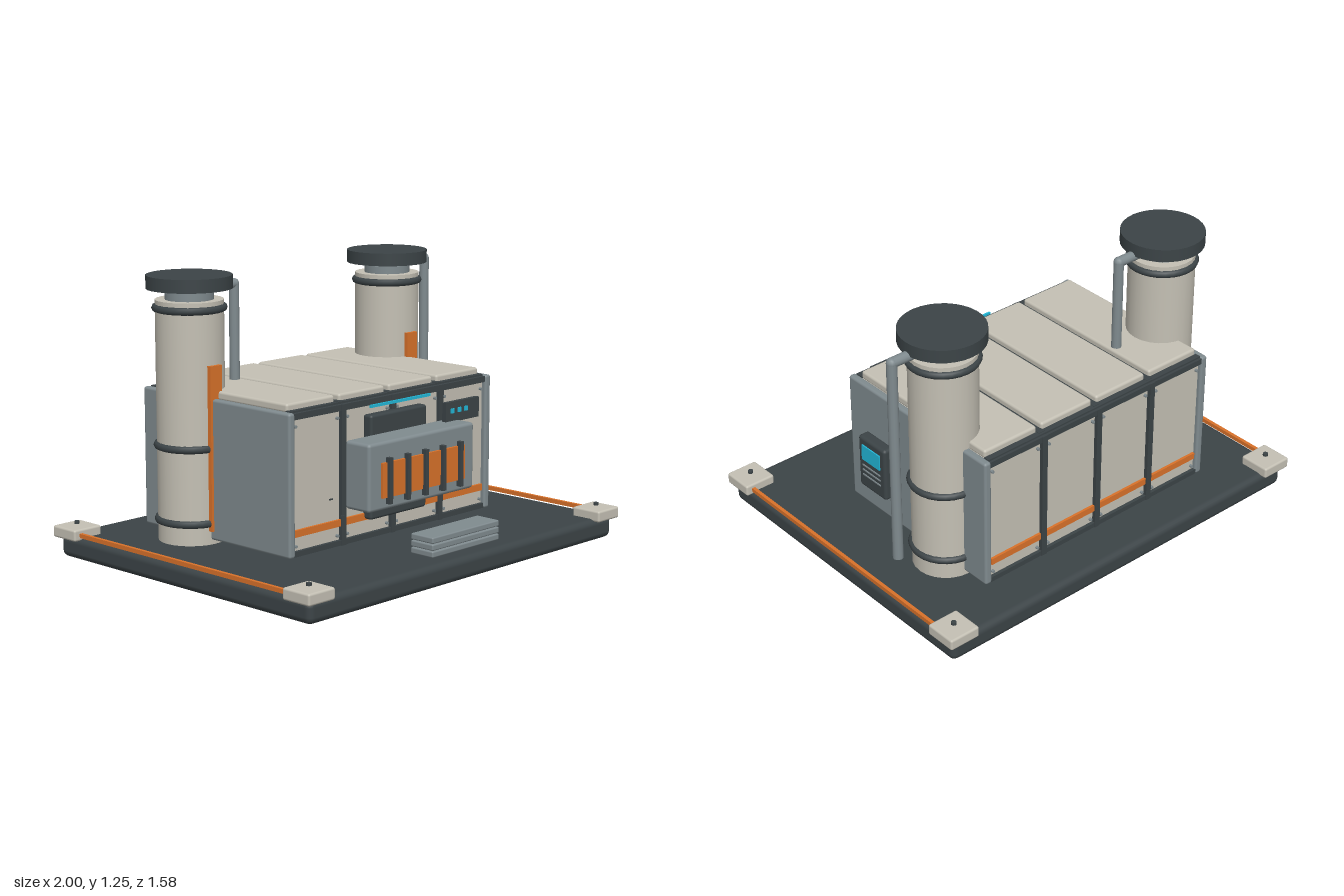
import * as THREE from 'three';
import { RoundedBoxGeometry } from 'three/addons/geometries/RoundedBoxGeometry.js';

const mat = (color) => new THREE.MeshStandardMaterial({ color });

export function createModel() {
  const root = new THREE.Group();
  const beige = mat(0xc4c0b4), grey = mat(0x808b8f), dark = mat(0x3c4447);
  const orange = mat(0xd9722a), cyan = mat(0x22b8d8);

  const add = (name, geo, m, parent = root) => {
    const mesh = new THREE.Mesh(geo, m);
    mesh.name = name;
    parent.add(mesh);
    return mesh;
  };
  // Boxes are given by their extents; r rounds the edges
  const box = (name, m, [x0, x1], [y0, y1], [z0, z1], r = 0, parent = root) => {
    const s = [x1 - x0, y1 - y0, z1 - z0];
    const geo = r ? new RoundedBoxGeometry(...s, 2, r) : new THREE.BoxGeometry(...s);
    const mesh = add(name, geo, m, parent);
    mesh.position.set((x0 + x1) / 2, (y0 + y1) / 2, (z0 + z1) / 2);
    return mesh;
  };
  const cyl = (name, m, r, h, x, y, z, seg = 24, parent = root) => {
    const mesh = add(name, new THREE.CylinderGeometry(r, r, h, seg), m, parent);
    mesh.position.set(x, y, z);
    return mesh;
  };

  // Base slab with side trim and corner pads
  box('baseSlab', dark, [-0.975, 0.975], [0, 0.1], [-0.77, 0.77], 0.03);
  for (const sx of [-1, 1]) {
    box('baseTrim', orange, [sx * 0.964 - 0.008, sx * 0.964 + 0.008], [0.103, 0.122], [-0.7, 0.7]);
    for (const sz of [-1, 1]) {
      const x = sx * 0.925, z = sz * 0.715;
      box('cornerPad', beige, [x - 0.075, x + 0.075], [0.088, 0.14], [z - 0.075, z + 0.075], 0.01);
      cyl('padBolt', dark, 0.012, 0.012, x, 0.153, z, 10);
    }
  }

  // Housing with end plates
  box('housing', beige, [-0.61, 0.61], [0.12, 0.73], [-0.565, 0.3]);
  for (const s of [-1, 1])
    box('endPlate', grey, [s * 0.623 - 0.018, s * 0.623 + 0.018], [0.12, 0.737], [-0.585, 0.323], 0.012);

  // Front and back faces: frame, stripe and panel bolts
  for (const [zf, s] of [[0.3, 1], [-0.565, -1]]) {
    const slab = (d) => (s > 0 ? [zf - 0.005, zf + d] : [zf - d, zf + 0.005]);
    box('topRail', dark, [-0.61, 0.61], [0.705, 0.732], slab(0.016));
    box('bottomRail', dark, [-0.61, 0.61], [0.122, 0.145], slab(0.016));
    box('stripe', orange, [-0.6, 0.6], [0.205, 0.235], slab(0.012));
    for (const x of [-0.31, 0, 0.31])
      box('seam', dark, [x - 0.014, x + 0.014], [0.12, 0.732], slab(0.018));
    for (let i = 0; i < 4; i++)
      for (const dx of [-0.125, 0.125])
        for (const y of [0.165, 0.675])
          cyl('panelBolt', grey, 0.007, 0.012, -0.465 + i * 0.31 + dx, y, zf + s * 0.006, 8).rotation.x = Math.PI / 2;
  }

  // Roof panels above dark seams and cross rails
  for (let i = 0; i < 4; i++) {
    const x = -0.465 + i * 0.31;
    box('roofPanel', beige, [x - 0.142, x + 0.142], [0.728, 0.768], [-0.543, 0.275], 0.012);
  }
  for (const x of [-0.31, 0, 0.31])
    box('roofSeam', dark, [x - 0.016, x + 0.016], [0.72, 0.742], [-0.56, 0.3]);
  for (const z of [-0.556, 0.285])
    box('roofRail', dark, [-0.61, 0.61], [0.72, 0.74], [z - 0.014, z + 0.014]);

  // Twin exhaust stacks with bands, cap and drain pipe
  for (const sx of [-1, 1]) {
    const stack = new THREE.Group();
    stack.name = 'exhaustStack';
    stack.position.set(sx * 0.62, 0, -0.3);
    root.add(stack);
    cyl('stackBody', beige, 0.148, 1.05, 0, 0.625, 0, 24, stack);
    cyl('stackNeck', grey, 0.105, 0.05, 0, 1.16, 0, 24, stack);
    cyl('stackCore', dark, 0.08, 0.04, 0, 1.19, 0, 24, stack);
    cyl('stackCap', dark, 0.186, 0.058, 0, 1.226, 0, 32, stack);
    for (const y of [0.193, 0.52, 1.115]) {
      const band = add('stackBand', new THREE.TorusGeometry(0.146, 0.017, 8, 28), dark, stack);
      band.rotation.x = Math.PI / 2;
      band.position.y = y;
    }
    box('stackFin', orange, [-0.033, 0.033], [0.16, 0.88], [0.14, 0.163], 0, stack);
    cyl('pipeArm', grey, 0.023, 0.2, 0.16, 1.19, 0, 12, stack).rotation.z = Math.PI / 2;
    cyl('drainPipe', grey, 0.023, 0.96, 0.261, 0.71, 0, 12, stack);
    add('pipeElbow', new THREE.SphereGeometry(0.0235, 12, 8), grey, stack).position.set(0.261, 1.19, 0);
  }

  // Front intake: backing plate, casing and barred grille
  box('intakeBacking', dark, [-0.178, 0.178], [0.21, 0.668], [0.3, 0.35], 0.012);
  box('intakeCasing', grey, [-0.336, 0.336], [0.29, 0.585], [0.345, 0.486], 0.015);
  box('intakeGrille', orange, [-0.263, 0.263], [0.345, 0.497], [0.48, 0.498]);
  for (let i = -2; i <= 2; i++)
    box('grilleBar', dark, [i * 0.113 - 0.01, i * 0.113 + 0.01], [0.318, 0.518], [0.49, 0.513]);
  box('lightStrip', cyan, [-0.19, 0.19], [0.704, 0.716], [0.349, 0.359]);

  // Indicator box with three lamps
  box('indicatorBox', dark, [0.243, 0.465], [0.58, 0.67], [0.381, 0.402]);
  for (const x of [0.285, 0.33, 0.375])
    box('indicatorLamp', cyan, [x - 0.011, x + 0.011], [0.62, 0.641], [0.4, 0.407]);

  // Thin surface marks standing off the front
  for (const [x, y, w] of [[-0.45, 0.355, 0.02], [-0.38, 0.27, 0.03], [0.4, 0.385, 0.05], [0.35, 0.305, 0.03], [0.16, 0.265, 0.03]])
    box('surfaceMark', dark, [x - w / 2, x + w / 2], [y - 0.003, y + 0.003], [0.373, 0.378]);

  // Side control panel with screen and vent lines
  box('controlPanel', dark, [0.635, 0.692], [0.25, 0.51], [0.022, 0.206], 0.015);
  box('controlScreen', cyan, [0.685, 0.698], [0.4, 0.475], [0.053, 0.175]);
  for (const y of [0.32, 0.345, 0.37])
    box('controlVent', grey, [0.688, 0.696], [y - 0.003, y + 0.003], [0.053, 0.175]);

  // Stacked entry step
  for (let i = 0; i < 3; i++)
    box('stepSlab', grey, [-0.215, 0.215], [0.122 + i * 0.03, 0.149 + i * 0.03], [0.612, 0.736], 0.006);

  return root;
}
